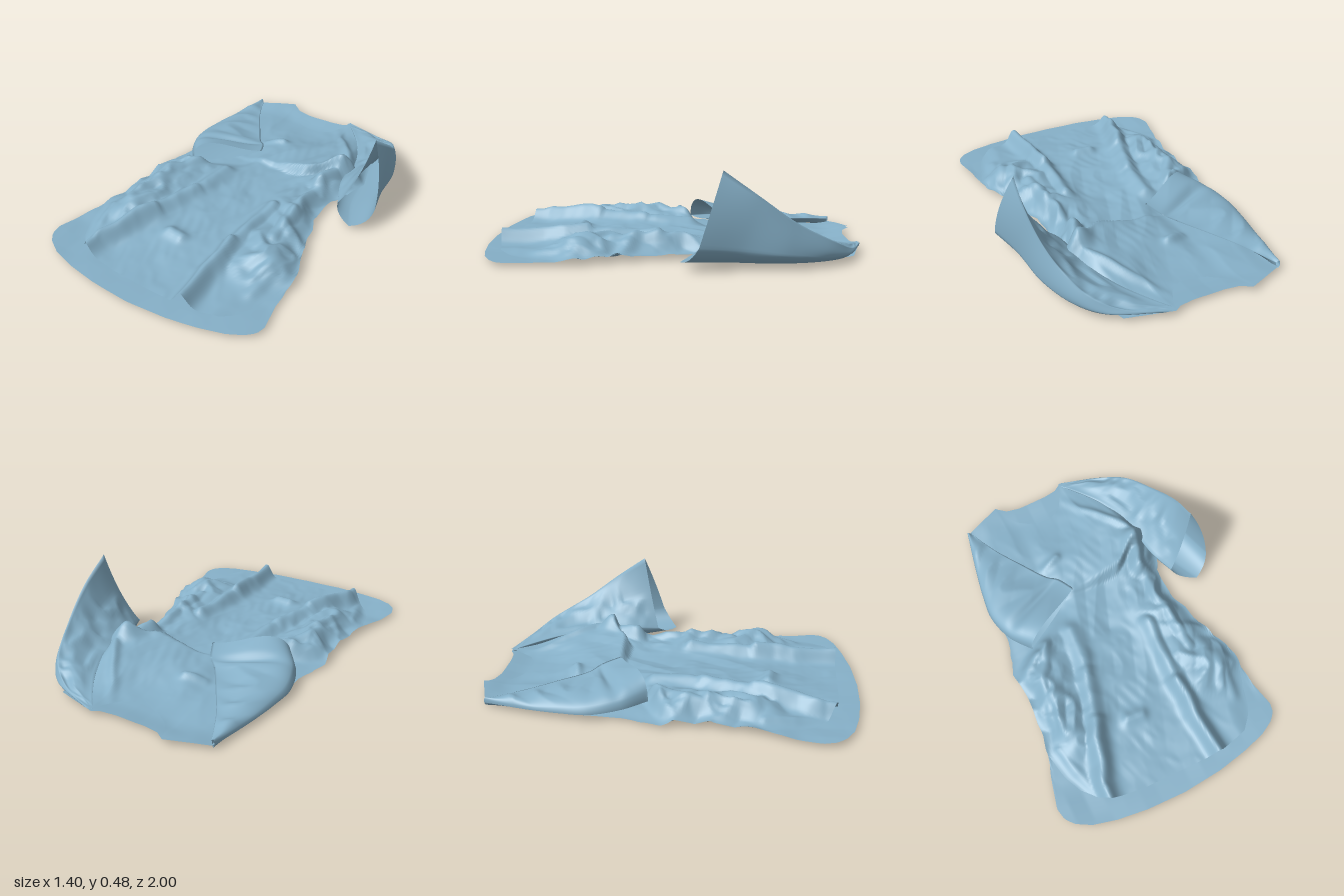
import * as THREE from 'three';
import { mergeVertices } from 'three/addons/utils/BufferGeometryUtils.js';

const cloth = new THREE.MeshStandardMaterial({ color: 0x86b0c8, side: THREE.DoubleSide });
const { lerp, clamp, smoothstep } = THREE.MathUtils;

// Piecewise linear lookup through [t, value] points
function along(pts, t) {
  if (t <= pts[0][0]) return pts[0][1];
  for (let i = 1; i < pts.length; i++) {
    const [a, p] = pts[i - 1], [b, q] = pts[i];
    if (t <= b) return lerp(p, q, (t - a) / (b - a));
  }
  return pts[pts.length - 1][1];
}

// Seeded value noise, and a folded version that makes crease lines
const hash = (i, j) => { const s = Math.sin(i * 127.1 + j * 311.7) * 43758.5453; return s - Math.floor(s); };
function noise(x, z) {
  const i = Math.floor(x), j = Math.floor(z), a = x - i, b = z - j;
  return lerp(lerp(hash(i, j), hash(i + 1, j), a), lerp(hash(i, j + 1), hash(i + 1, j + 1), a), b);
}
const crease = (x, z) => 1 - Math.abs(2 * noise(x, z) - 1);

// Cloth sheet from a rule f(u, v) -> [x, y, z]
function sheet(name, nu, nv, f) {
  const pos = [], index = [];
  for (let j = 0; j <= nv; j++) for (let i = 0; i <= nu; i++) pos.push(...f(i / nu, j / nv));
  for (let j = 0; j < nv; j++) for (let i = 0; i < nu; i++) {
    const a = j * (nu + 1) + i, b = a + 1, c = a + nu + 1, d = c + 1;
    index.push(a, c, b, b, c, d);
  }
  let geo = new THREE.BufferGeometry();
  geo.setAttribute('position', new THREE.Float32BufferAttribute(pos, 3));
  geo.setIndex(index);
  geo = mergeVertices(geo, 1e-5);
  geo.computeVertexNormals();
  const mesh = new THREE.Mesh(geo, cloth);
  mesh.name = name;
  return mesh;
}

// Outlines: x of each side by z, and z of the neck and hem by u
const sideMinus = [[-1, -0.48], [-0.8, -0.48], [-0.5, -0.53], [-0.2, -0.55], [-0.1, -0.59], [0.3, -0.6], [0.5, -0.63]];
const sidePlus = [[-1, 0.36], [-0.8, 0.4], [-0.45, 0.5], [-0.3, 0.47], [-0.2, 0.42], [0, 0.43], [0.2, 0.47], [0.4, 0.54], [0.5, 0.565]];
const backMinus = [...sideMinus, [0.65, -0.67], [0.77, -0.7]];
const backPlus = [...sidePlus, [0.65, 0.57], [0.8, 0.6]];
const frontMinus = [...sideMinus, [0.65, -0.59], [0.8, -0.52]];
const frontPlus = [...sidePlus, [0.65, 0.51], [0.8, 0.47]];
const frontTop = [[0, -0.92], [0.25, -1], [0.28, -0.93], [0.33, -0.87], [0.4, -0.825], [0.47, -0.805], [0.56, -0.8],
  [0.64, -0.84], [0.7, -0.91], [0.74, -0.98], [1, -0.91]];
const backTop = [[0, -0.92], [0.25, -1], [0.31, -0.96], [0.4, -0.945], [0.6, -0.945], [0.69, -0.955], [0.74, -0.98], [1, -0.91]];
const backHem = [[0, 0.78], [0.01, 0.84], [0.04, 0.885], [0.1, 0.93], [0.2, 0.965], [0.33, 0.99], [0.5, 1],
  [0.67, 0.985], [0.8, 0.955], [0.9, 0.92], [0.96, 0.88], [0.99, 0.84], [1, 0.79]];
const frontHem = [[0, 0.74], [0.03, 0.81], [0.1, 0.86], [0.3, 0.885], [0.75, 0.9], [0.92, 0.86], [0.98, 0.8], [1, 0.74]];

// Folds lying on the front: x1, z1, x2, z2, height, width
const folds = [
  [-0.2, -0.08, -0.23, 0.18, 0.045, 0.05], [-0.23, 0.18, -0.31, 0.45, 0.06, 0.05], [-0.31, 0.45, -0.45, 0.87, 0.08, 0.05],
  [0.2, 0.08, 0.18, 0.45, 0.05, 0.045], [0.18, 0.45, 0.21, 0.91, 0.08, 0.045],
  [-0.38, -0.05, -0.5, 0.2, 0.045, 0.05], [-0.5, 0.2, -0.52, 0.4, 0.03, 0.04], [0.33, -0.22, 0.35, 0.3, 0.045, 0.05],
  [0.31, -0.25, 0.36, -0.42, 0.075, 0.055], [0.36, -0.42, 0.46, -0.45, 0.06, 0.04], [0.38, -0.28, 0.43, -0.33, 0.05, 0.04],
  [0.13, -0.86, 0.36, -0.5, 0.025, 0.025], [-0.18, -0.5, -0.08, -0.53, 0.025, 0.025],
  [-0.15, 0.52, -0.07, 0.53, 0.03, 0.035], [-0.57, 0.5, -0.5, 0.78, 0.035, 0.03], [0.48, 0.45, 0.45, 0.66, 0.03, 0.03],
];
function foldHeight(x, z) {
  let h = 0;
  const wx = x + 0.025 * (noise(x * 5, z * 9) - 0.5);
  for (const [x1, z1, x2, z2, top, w] of folds) {
    const dx = x2 - x1, dz = z2 - z1;
    const t = clamp(((wx - x1) * dx + (z - z1) * dz) / (dx * dx + dz * dz), 0, 1);
    const d = Math.hypot(wx - x1 - t * dx, z - z1 - t * dz) / w;
    h = Math.max(h, top * Math.exp(-d * d));
  }
  return h;
}

// Where the folded sleeve presses the body flat
function pressed(x, z) {
  const cuff = -0.08 - 0.556 * (x + 0.45);
  return smoothstep(-x, 0.1, 0.22) * (1 - smoothstep(z, cuff - 0.02, cuff + 0.08));
}

// How rumpled the cloth is: strongest at the sides of the waist
const rumple = (x, z) => smoothstep(Math.abs(x + 0.05), 0.15, 0.4) * smoothstep(z, -0.5, -0.2)
  * (1 - smoothstep(z, 0.4, 0.7)) * (1 - pressed(x, z));

function backHeight(x, z) {
  const s = Math.abs(x + 0.05) / 0.65;
  return 0.004 + 0.014 * s * s + 0.02 * smoothstep(-z, 0.82, 1) + 0.01 * smoothstep(z, 0.6, 1) + 0.008 * noise(x * 11, z * 9)
    + 0.035 * rumple(x, z) * crease(x * 9 + z * 5 + 4, z * 10 - x * 4);
}
function frontHeight(x, z) {
  // Chest billows toward the waist and tucks under at a sharp fold
  const waist = -0.3 - 0.1 * smoothstep(x, 0.18, 0.36);
  const chest = smoothstep(z, -0.9, waist) * (1 - smoothstep(z, waist, waist + 0.03));
  const billow = chest * lerp(0.015, 0.07, smoothstep(x, -0.12, 0.3));
  const crumple = rumple(x, z) * 0.045 * crease(x * 10 + z * 4, z * 9 - x * 3);
  // The cloth settles flat near the hem
  const loft = 1 - 0.7 * smoothstep(z, 0.45, 0.85);
  const h = loft * (0.026 + 0.012 * noise(x * 6 + 3, z * 4) + 0.014 * crease(x * 8 + z * 3, z * 4 - x * 2))
    + 0.005 * crease(x * 17 - z * 6, z * 11) + billow + Math.max(foldHeight(x, z), crumple);
  return h * (1 - 0.6 * pressed(x, z));
}

// One body panel between its side, top and hem outlines
function panel(name, minus, plus, top, hem, height) {
  return sheet(name, 120, 130, (u, v) => {
    const z = lerp(along(top, u), along(hem, u), v);
    const jag = 0.035 * smoothstep(z, -0.3, -0.1) * (1 - smoothstep(z, 0.5, 0.65));
    const left = along(minus, z) + jag * (noise(z * 13, 2) - 0.5);
    const right = along(plus, z) + jag * (noise(z * 13, 8) - 0.5);
    const x = lerp(left, right, u);
    return [x, height(x, z, u, v), z];
  });
}

// Smooth path through one corner of every sleeve section
const path = (pts) => new THREE.CatmullRomCurve3(pts.map((p) => new THREE.Vector3(...p)));

// Flattened sleeve folded across the chest
function foldedSleeve() {
  const outer = path([[-0.49, 0.03, -0.92], [-0.54, 0.03, -0.68], [-0.57, 0.035, -0.5], [-0.58, 0.04, -0.36], [-0.535, 0.055, -0.2], [-0.45, 0.065, -0.08]]);
  const inner = path([[-0.47, 0.045, -0.91], [-0.39, 0.06, -0.74], [-0.29, 0.075, -0.58], [-0.19, 0.09, -0.43], [-0.14, 0.11, -0.38], [-0.09, 0.138, -0.28]]);
  return sheet('foldedSleeve', 72, 60, (u, v) => {
    const up = u < 0.5, s = up ? u * 2 : 2 - u * 2;
    const p = outer.getPoint(v).lerp(inner.getPoint(v), s);
    // Rounded at the outer fold, thinning to a flat inner edge
    const puff = Math.pow(s, 0.5) * Math.pow(1 - s, 2) * 3.4;
    const wave = Math.sin(Math.PI * s) * 0.022 * crease(p.x * 7 + p.z * 5, p.z * 8 + 1);
    const cuffDip = Math.sin(Math.PI * s) * 0.025 * Math.exp(-Math.pow((v - 0.78) / 0.05, 2));
    p.y += up ? puff * lerp(0.02, 0.09, v * v) + wave - cuffDip : -Math.sin(Math.PI * s) * 0.025;
    return p.toArray();
  });
}

// Open sleeve standing up in a tall peak at the cuff
function raisedSleeve() {
  const inner = path([[0.48, 0.08, -0.15], [0.42, 0.1, -0.3], [0.39, 0.09, -0.52], [0.32, 0.07, -0.72], [0.2, 0.05, -0.9], [0.14, 0.04, -0.97]]);
  const peak = path([[0.62, 0.48, -0.25], [0.625, 0.36, -0.42], [0.59, 0.23, -0.6], [0.5, 0.12, -0.8], [0.36, 0.06, -0.905], [0.16, 0.04, -0.98]]);
  const outer = path([[0.7, 0.13, -0.14], [0.655, 0.11, -0.33], [0.625, 0.08, -0.56], [0.55, 0.055, -0.75], [0.45, 0.04, -0.86], [0.2, 0.03, -0.965]]);
  const under = path([[0.6, 0.04, -0.05], [0.52, 0.025, -0.25], [0.48, 0.015, -0.5], [0.44, 0.015, -0.7], [0.38, 0.018, -0.83], [0.18, 0.022, -0.94]]);
  const mix = (a, b, kx, ky) => new THREE.Vector3(lerp(a.x, b.x, kx), lerp(a.y, b.y, ky), (a.z + b.z) / 2);
  return sheet('raisedSleeve', 72, 60, (u, v) => {
    const [i, p, o, d] = [inner, peak, outer, under].map((c) => c.getPoint(v));
    const sides = [[i, mix(i, p, 0.65, 0.35), p], [p, mix(p, o, 1, 0.5), o], [o, mix(o, d, 0.1, 0.9), d], [d, mix(d, i, 0.9, 0.1), i]];
    const k = Math.min(3, Math.floor(u * 4));
    const q = new THREE.QuadraticBezierCurve3(...sides[k]).getPoint(u * 4 - k);
    // Creases on the inner wall, deepest by the underarm
    if (k === 0) {
      const fade = Math.sin(Math.PI * u * 4) * smoothstep(v, 0, 0.15) * (1 - smoothstep(v, 0.6, 1));
      q.y += 0.05 * fade * (crease(u * 14, v * 14) - 0.5);
    }
    return q.toArray();
  });
}

export function createModel() {
  const group = new THREE.Group();
  group.name = 'crumpledDress';
  group.add(panel('backPanel', backMinus, backPlus, backTop, backHem, backHeight));
  group.add(panel('frontPanel', frontMinus, frontPlus, frontTop, frontHem, (x, z, u, v) => {
    // Joined to the back along the side seams and shoulders, open at the hem
    const seam = smoothstep(Math.min(u, 1 - u), 0, 0.12) * lerp(0.25, 1, smoothstep(v, 0, 0.2));
    return backHeight(x, z) + 0.003 + seam * frontHeight(x, z);
  }));
  group.add(foldedSleeve(), raisedSleeve());
  return group;
}
